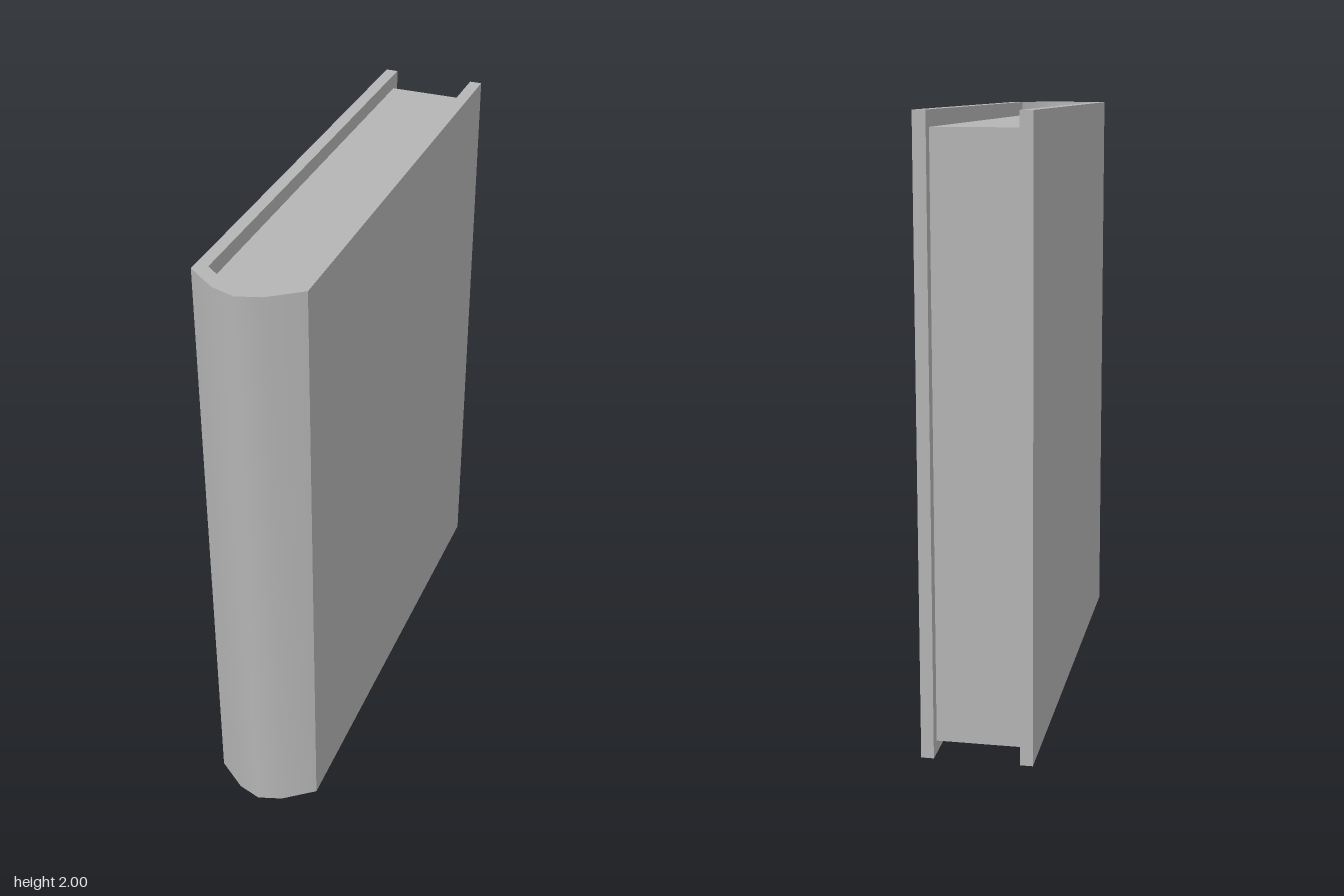
import * as THREE from 'three';
import { toCreasedNormals } from 'three/addons/utils/BufferGeometryUtils.js';

// Extrude a floor plan of [x, z] points upward between two heights
function prism(plan, bottom, top) {
  const shape = new THREE.Shape(plan.map(([x, z]) => new THREE.Vector2(x, z)));
  const geometry = new THREE.ExtrudeGeometry(shape, { depth: top - bottom, bevelEnabled: false });
  geometry.rotateX(Math.PI / 2).translate(0, top, 0);
  return toCreasedNormals(geometry, 0.8);
}

// Complete a plan from its +x half, ending at the spine tip on x = 0
function mirrored(half) {
  const other = half.filter(([x]) => x > 0).reverse().map(([x, z]) => [-x, z]);
  return [...half, ...other];
}

export function createModel() {
  const book = new THREE.Group();
  book.name = 'book';

  const grey = new THREE.MeshStandardMaterial({ color: 0xb4b4b4 });
  grey.name = 'plain grey';

  const outer = mirrored([[0.178, -0.848], [0.178, 0.745], [0.078, 0.82], [0, 0.845]]);
  const innerHalf = [[0.137, 0.717], [0.075, 0.765], [0, 0.793]];
  const inner = mirrored([[0.137, -0.848], ...innerHalf]);
  const pagePlan = mirrored([[0.137, -0.808], ...innerHalf]);

  // Two boards and a rounded spine in one U-shaped wrap
  const cover = new THREE.Mesh(prism([...outer, ...inner.reverse()], 0, 2), grey);
  cover.name = 'cover';

  // Page block, set back from the top, bottom and open edge
  const pages = new THREE.Mesh(prism(pagePlan, 0.042, 1.95), grey);
  pages.name = 'pages';

  book.add(cover, pages);
  return book;
}
